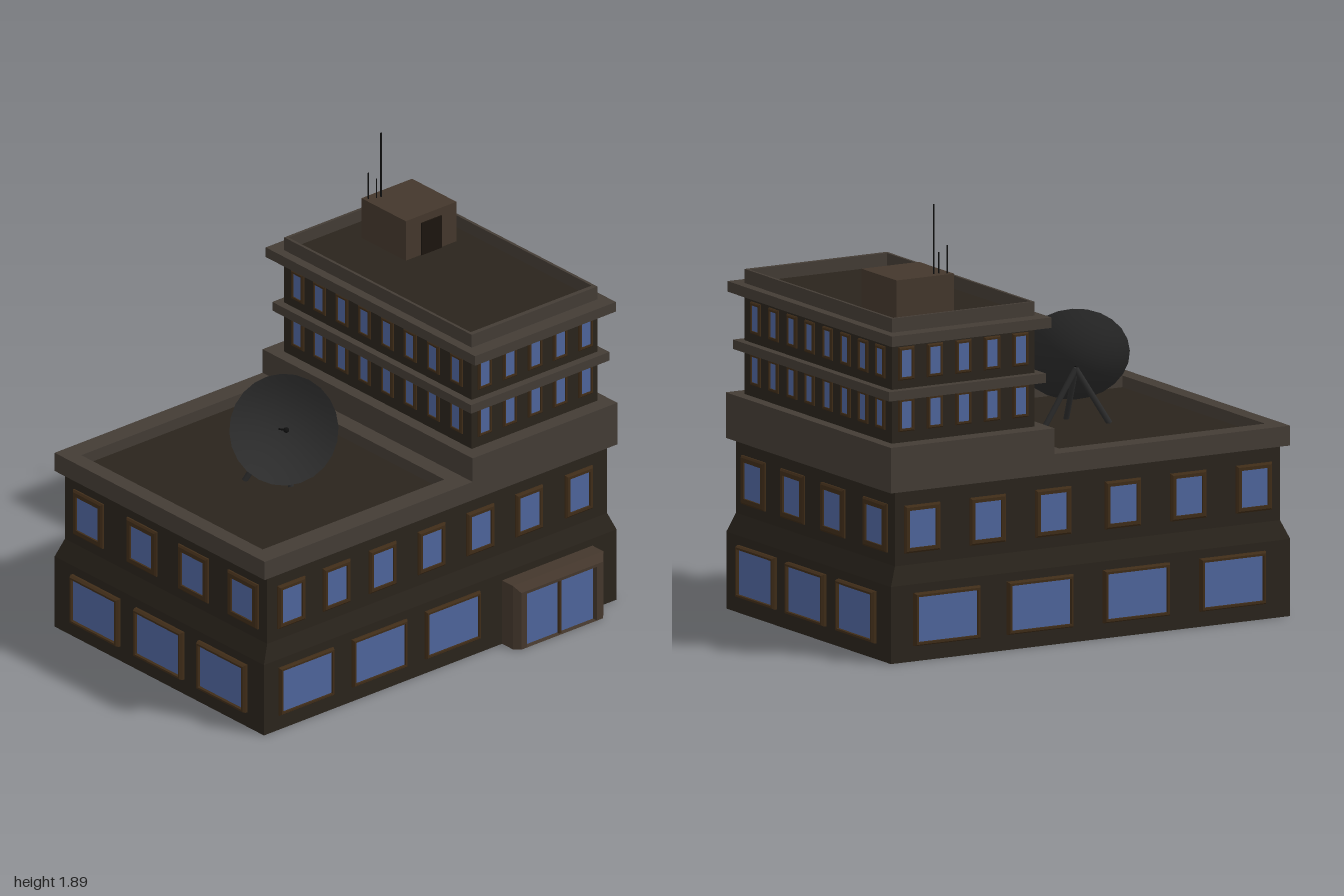
import * as THREE from 'three';

const mat = (color, side = THREE.FrontSide) => new THREE.MeshStandardMaterial({ color, side });
const WALL = mat(0x2a241c, THREE.DoubleSide), TRIM = mat(0x433c35, THREE.DoubleSide);
const FRAME = mat(0x3f2c18, THREE.DoubleSide), GLASS = mat(0x4e659c, THREE.DoubleSide);
const STONE = mat(0x44372c, THREE.DoubleSide), DARK = mat(0x1c150e);
const METAL = mat(0x2b2b2b, THREE.DoubleSide), BLACK = mat(0x101010);

// Skin through rectangles [y, x0, x1, z0, z1], optionally capped at the end
function loft(levels, cap = false) {
  const pos = [];
  const ring = ([y, x0, x1, z0, z1]) => [[x0, y, z0], [x0, y, z1], [x1, y, z1], [x1, y, z0]];
  const quad = (a, b, c, d) => pos.push(...a, ...b, ...c, ...a, ...c, ...d);
  for (let k = 0; k + 1 < levels.length; k++) {
    const p = ring(levels[k]), q = ring(levels[k + 1]);
    for (let i = 0; i < 4; i++) {
      const j = (i + 1) % 4;
      quad(p[i], p[j], q[j], q[i]);
    }
  }
  if (cap) quad(...ring(levels[levels.length - 1]));
  const g = new THREE.BufferGeometry();
  g.setAttribute('position', new THREE.Float32BufferAttribute(pos, 3));
  g.computeVertexNormals();
  return g;
}

function add(parent, name, geo, material, x = 0, y = 0, z = 0) {
  const m = new THREE.Mesh(geo, material);
  m.name = name;
  m.position.set(x, y, z);
  parent.add(m);
  return m;
}

// Round bar between two points
function bar(parent, name, a, b, r, material, sides = 8) {
  const d = b.clone().sub(a);
  const m = add(parent, name, new THREE.CylinderGeometry(r, r, d.length(), sides), material);
  m.position.copy(a).addScaledVector(d, 0.5);
  m.quaternion.setFromUnitVectors(new THREE.Vector3(0, 1, 0), d.normalize());
}

// Row of framed windows on a facade; angle turns the facade away from the front
function windowRow(parent, name, angle, dist, us, y, w, h, border, depth) {
  const row = new THREE.Group();
  row.name = name;
  row.rotation.y = angle;
  const W = w + border, H = h + border, b = Math.min(0.008, border * 0.4);
  const frame = loft([
    [-0.005, -W, W, -H, H], [depth * 0.5, -W, W, -H, H],
    [depth, -W + b, W - b, -H + b, H - b], [depth, -w, w, -h, h], [depth * 0.4, -w, w, -h, h],
  ]).rotateX(Math.PI / 2);
  const pane = new THREE.PlaneGeometry(2 * w, 2 * h);
  for (const u of us) {
    add(row, 'windowFrame', frame, FRAME, u, y, dist);
    add(row, 'windowPane', pane, GLASS, u, y, dist + depth * 0.4);
  }
  parent.add(row);
}

export function createModel() {
  const model = new THREE.Group();
  model.name = 'officeBuilding';

  // Main block: open underneath, stepping in above the ground floor
  add(model, 'mainWalls', loft([
    [0, -0.975, 0.975, -0.71, 0.635], [0.33, -0.975, 0.975, -0.71, 0.635],
    [0.41, -0.94, 0.94, -0.685, 0.615], [0.735, -0.94, 0.94, -0.685, 0.615],
  ]), WALL);
  add(model, 'mainParapet', loft([
    [0.73, -0.94, 0.175, -0.685, 0.615], [0.73, -0.975, 0.175, -0.71, 0.64],
    [0.815, -0.975, 0.175, -0.71, 0.64], [0.815, -0.905, 0.1, -0.62, 0.545],
    [0.765, -0.905, 0.1, -0.62, 0.545],
  ]), TRIM);
  add(model, 'mainRoof', loft([[0.765, -0.905, 0.1, -0.62, 0.545]], true), WALL);

  // Tower with its base band, ledges and parapet
  add(model, 'towerBase', loft([
    [0.73, 0.175, 0.94, -0.685, 0.615], [0.73, 0.175, 0.975, -0.71, 0.64],
    [0.925, 0.175, 0.975, -0.71, 0.64], [0.925, 0.23, 0.925, -0.635, 0.57],
  ]), TRIM);
  add(model, 'towerWalls', loft([
    [0.925, 0.23, 0.925, -0.635, 0.57], [1.4, 0.23, 0.925, -0.635, 0.57],
  ]), WALL);
  const ledge = (name, y0, y1, o, zo) => add(model, name, loft([
    [y0, 0.23, 0.925, -0.635, 0.57], [y0, 0.23 - o, 0.925 + o, -0.635 - zo, 0.57 + zo],
    [y1, 0.23 - o, 0.925 + o, -0.635 - zo, 0.57 + zo], [y1, 0.23, 0.925, -0.635, 0.57],
  ]), TRIM);
  ledge('middleLedge', 1.115, 1.155, 0.035, 0.036);
  ledge('topLedge', 1.355, 1.4, 0.042, 0.07);
  add(model, 'towerParapet', loft([
    [1.4, 0.23, 0.925, -0.635, 0.57], [1.46, 0.23, 0.925, -0.635, 0.57],
    [1.46, 0.243, 0.912, -0.622, 0.548], [1.405, 0.243, 0.912, -0.622, 0.548],
  ]), TRIM);
  add(model, 'towerRoof', loft([[1.405, 0.243, 0.912, -0.622, 0.548]], true), WALL);

  // Main block windows
  const back = Math.PI, side = Math.PI / 2;
  windowRow(model, 'frontLowerWindows', 0, 0.635, [-0.745, -0.34, 0.065], 0.18, 0.137, 0.097, 0.014, 0.016);
  windowRow(model, 'frontUpperWindows', 0, 0.615,
    [-0.81, -0.56, -0.305, -0.035, 0.235, 0.505, 0.78], 0.563, 0.055, 0.08, 0.02, 0.014);
  windowRow(model, 'backLowerWindows', back, 0.71, [-0.705, -0.25, 0.22, 0.69], 0.18, 0.145, 0.097, 0.016, 0.022);
  windowRow(model, 'backUpperWindows', back, 0.685,
    [-0.81, -0.49, -0.17, 0.17, 0.49, 0.81], 0.563, 0.065, 0.08, 0.022, 0.014);
  for (const s of [1, -1]) {
    const turn = zs => zs.map(z => -s * z);
    const label = s > 0 ? 'left' : 'right';
    windowRow(model, label + 'LowerWindows', s * side, 0.975,
      turn([0.375, -0.03, -0.44]), 0.18, 0.14, 0.097, 0.014, 0.024);
    windowRow(model, label + 'UpperWindows', s * side, 0.94,
      turn([0.465, 0.145, -0.185, -0.53]), 0.563, 0.07, 0.078, 0.026, 0.014);
  }

  // Tower windows, two floors on all four sides
  const five = [0.3, 0.438, 0.578, 0.717, 0.857];
  const eight = [0.475, 0.327, 0.178, 0.032, -0.115, -0.26, -0.405, -0.545];
  for (const y of [1.043, 1.263]) {
    windowRow(model, 'towerFrontWindows', 0, 0.57, five, y, 0.026, 0.058, 0.013, 0.01);
    windowRow(model, 'towerBackWindows', back, 0.635, five.map(x => -x), y, 0.026, 0.058, 0.013, 0.01);
    windowRow(model, 'towerLeftWindows', side, 0.925, eight.map(z => -z), y, 0.026, 0.055, 0.013, 0.01);
    windowRow(model, 'towerRightWindows', -side, -0.23, eight, y, 0.026, 0.055, 0.013, 0.01);
  }

  // Entrance porch with chamfered edges and two glass doors
  const porch = new THREE.Group();
  porch.name = 'entrance';
  porch.position.set(0.592, 0, 0.635);
  add(porch, 'porchFrame', loft([
    [0, -0.25, 0.25, -0.297, 0], [0.07, -0.25, 0.25, -0.297, 0],
    [0.095, -0.225, 0.225, -0.265, 0], [0.095, -0.193, 0.193, -0.252, 0],
    [0.07, -0.193, 0.193, -0.252, 0],
  ]).rotateX(Math.PI / 2), STONE);
  for (const s of [-1, 1])
    add(porch, 'glassDoor', new THREE.PlaneGeometry(0.187, 0.25), GLASS, s * 0.0985, 0.126, 0.071);
  add(porch, 'doorPost', new THREE.BoxGeometry(0.012, 0.252, 0.02), FRAME, 0, 0.126, 0.075);
  model.add(porch);

  // Rooftop hut with door and antennas
  add(model, 'rooftopHut', new THREE.BoxGeometry(0.28, 0.19, 0.285), STONE, 0.685, 1.495, -0.3625);
  add(model, 'hutDoor', new THREE.BoxGeometry(0.112, 0.15, 0.012), DARK, 0.685, 1.48, -0.22);
  for (const [x, z, top, r] of [[0.565, -0.483, 1.71, 0.003], [0.595, -0.466, 1.68, 0.003], [0.618, -0.463, 1.888, 0.004]])
    add(model, 'antenna', new THREE.CylinderGeometry(r, r, top - 1.58, 6), BLACK, x, (top + 1.58) / 2, z);

  // Satellite dish on a tripod
  const hub = new THREE.Vector3(-0.362, 1.003, 0.02);
  const aim = new THREE.Vector3(-0.41, 0.41, 0.82).normalize();
  const profile = [];
  for (let i = 0; i <= 8; i++) {
    const t = i / 8;
    profile.push(new THREE.Vector2(0.235 * t, 0.09 * t * t));
  }
  const dish = add(model, 'dish', new THREE.LatheGeometry(profile, 24), METAL);
  dish.position.copy(hub);
  dish.quaternion.setFromUnitVectors(new THREE.Vector3(0, 1, 0), aim);
  const tip = hub.clone().addScaledVector(aim, 0.135);
  bar(model, 'feedArm', hub, tip, 0.004, BLACK);
  add(model, 'feedHorn', new THREE.SphereGeometry(0.012, 10, 8), BLACK, tip.x, tip.y, tip.z);
  const mount = hub.clone().addScaledVector(aim, -0.015);
  for (const [x, z] of [[-0.475, -0.07], [-0.215, 0.02], [-0.365, 0.1]])
    bar(model, 'tripodLeg', mount, new THREE.Vector3(x, 0.765, z), 0.013, METAL);

  return model;
}
